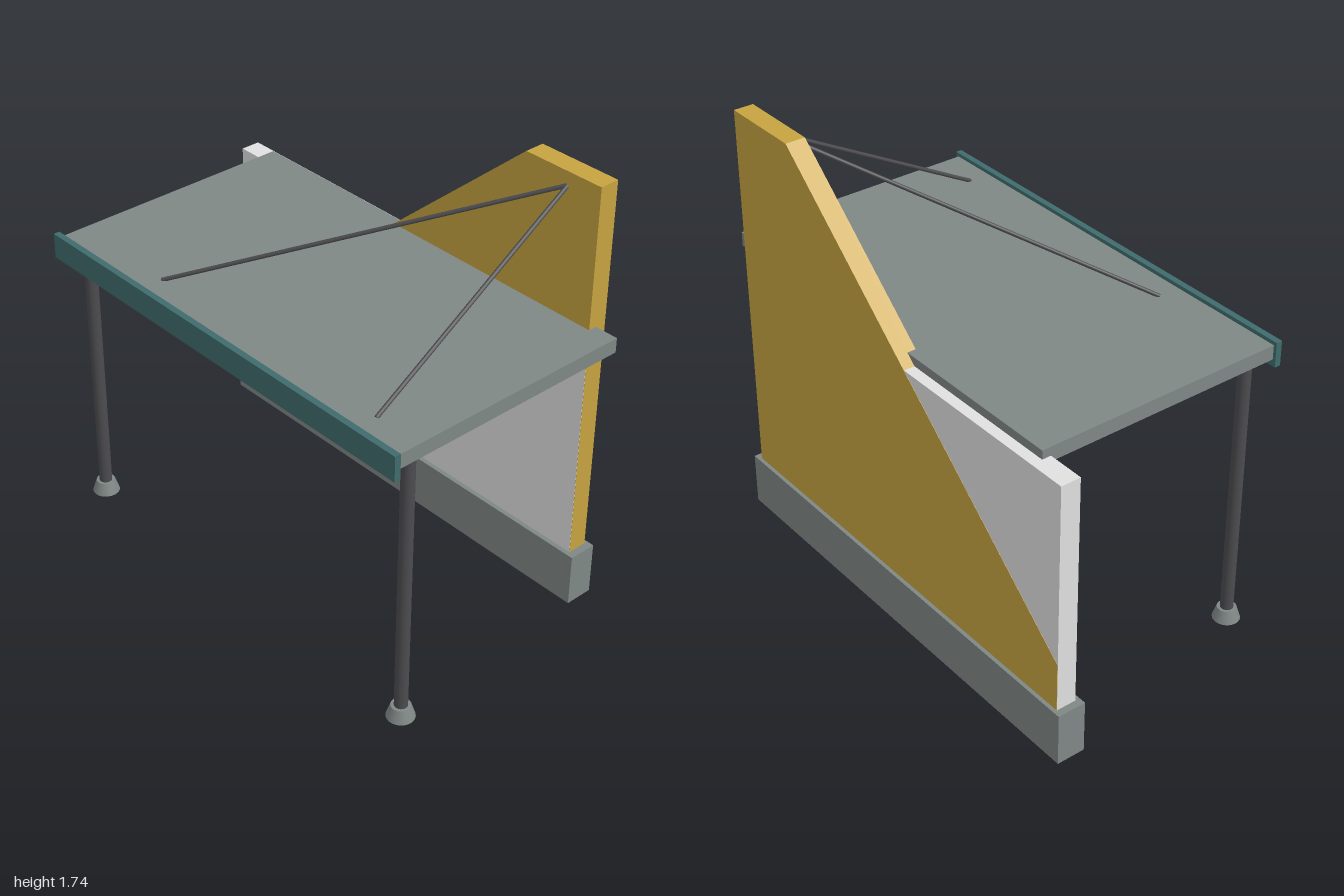
import * as THREE from 'three';

const material = (name, color) => Object.assign(new THREE.MeshStandardMaterial({ color }), { name });

export function createModel() {
  const model = new THREE.Group();
  model.name = 'canopyShelter';
  const grey = material('concreteGrey', 0x7f8886);
  const ochre = material('ochre', 0xc6a340);
  const white = material('paleWall', 0xe0e0e0);
  const dark = material('darkSteel', 0x4c4c50);
  const teal = material('teal', 0x3f6b6d);

  const add = (name, geometry, mat) => {
    const mesh = new THREE.Mesh(geometry, mat);
    mesh.name = name;
    model.add(mesh);
    return mesh;
  };
  // Box given by its low and high corners
  const box = (name, mat, [x0, y0, z0], [x1, y1, z1]) =>
    add(name, new THREE.BoxGeometry(x1 - x0, y1 - y0, z1 - z0), mat)
      .position.set((x0 + x1) / 2, (y0 + y1) / 2, (z0 + z1) / 2);

  // Plinth and the straight rear wall
  box('plinth', grey, [0.435, 0, -1], [0.55, 0.215, 0.92]);
  box('paleWall', white, [0.454, 0.2, -0.971], [0.534, 1.15, 0.889]);

  // Sloping wall: outline in (z, y), extruded along x
  const outline = new THREE.Shape(
    [[0.89, 0.1], [0.89, 1.74], [0.55, 1.74], [-0.97, 0.415], [-0.97, 0.1]]
      .map(([z, y]) => new THREE.Vector2(-z, y)));
  const wall = new THREE.ExtrudeGeometry(outline, { depth: 0.08, bevelEnabled: false });
  wall.rotateY(Math.PI / 2).translate(0.455, 0, 0);
  add('slopingWall', wall, ochre);

  // Roof slab and its outer edge beam
  box('roof', grey, [-0.53, 1.127, -0.822], [0.49, 1.185, 0.985]);
  box('edgeBeam', teal, [-0.555, 1.1, -0.835], [-0.53, 1.2, 1]);

  // Posts on flared feet
  for (const [side, z] of [['front', 0.942], ['back', -0.78]]) {
    add(side + 'Post', new THREE.CylinderGeometry(0.025, 0.025, 1.1, 24), dark)
      .position.set(-0.44, 0.58, z);
    add(side + 'Foot', new THREE.CylinderGeometry(0.037, 0.053, 0.05, 24), grey)
      .position.set(-0.44, 0.025, z);
  }

  // Stay rods from the tall wall down to the roof
  const top = new THREE.Vector3(0.46, 1.685, 0.74);
  for (const [side, z] of [['front', 0.79], ['back', -0.335]]) {
    const foot = new THREE.Vector3(-0.44, 1.185, z);
    const span = top.clone().sub(foot);
    const rod = add(side + 'StayRod', new THREE.CylinderGeometry(0.008, 0.008, span.length(), 12), dark);
    rod.position.copy(foot).addScaledVector(span, 0.5);
    rod.quaternion.setFromUnitVectors(new THREE.Vector3(0, 1, 0), span.normalize());
  }
  return model;
}
